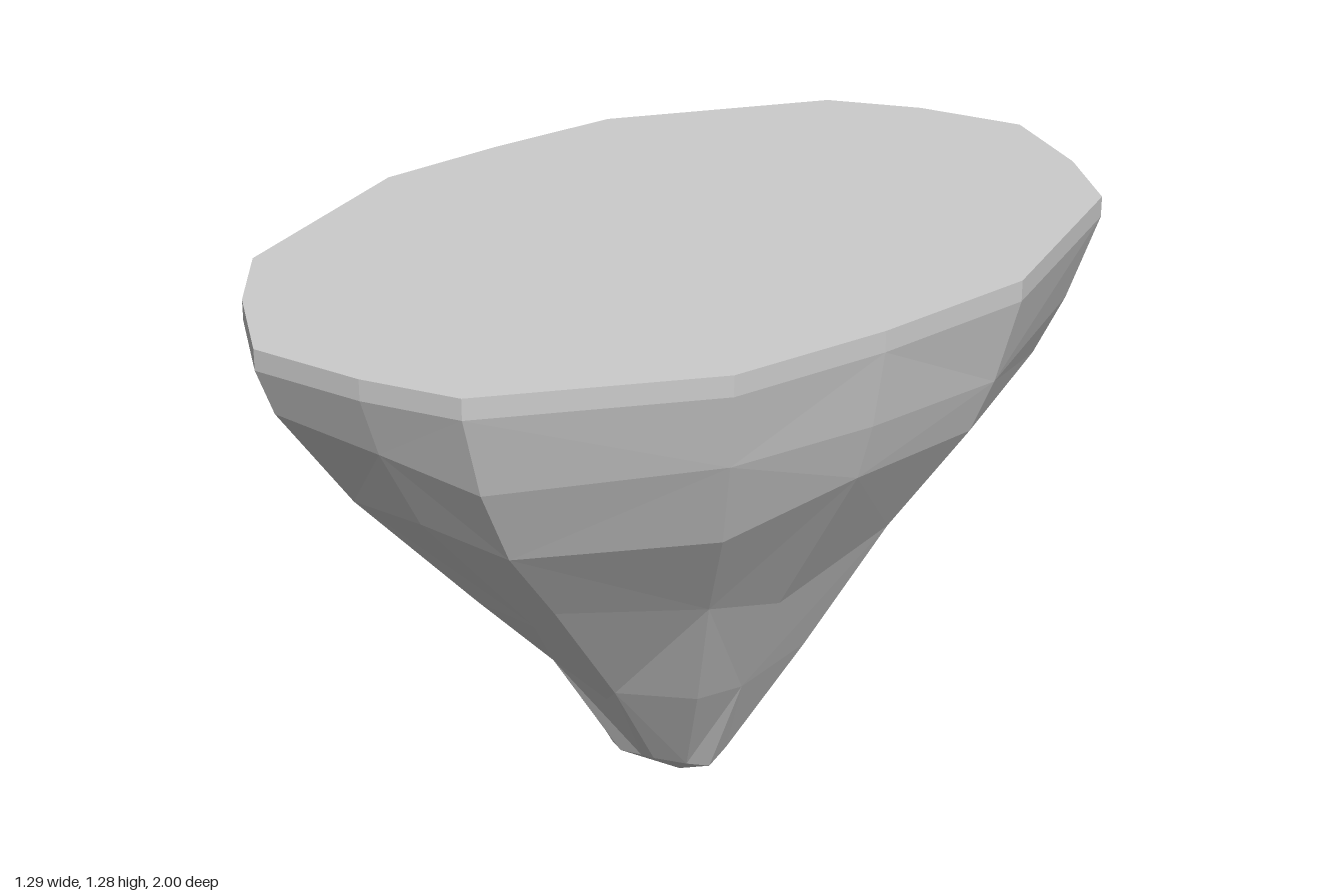
import * as THREE from 'three';

// Plan outline [x, z], from the front point round by +x
const outline = [
  [-0.04, 1], [0.2, 0.92], [0.39, 0.82], [0.62, 0.36], [0.64, 0], [0.62, -0.38], [0.39, -0.83], [0.2, -0.93],
  [-0.04, -1], [-0.26, -0.9], [-0.43, -0.77], [-0.64, -0.3], [-0.65, 0], [-0.64, 0.29], [-0.43, 0.76], [-0.26, 0.89],
];
const N = outline.length;

// Cross-sections from the rim down: height, then how far each outline point shrinks inward
const levels = [
  { y: 1.235, s: Array(N).fill(1) },
  { y: 1.1, s: [0.95, 0.95, 0.96, 0.96, 0.97, 0.96, 0.95, 0.95, 0.955, 0.95, 0.95, 0.96, 0.965, 0.97, 0.96, 0.95] },
  { y: 0.9, s: [0.8, 0.83, 0.85, 0.86, 0.87, 0.85, 0.83, 0.82, 0.82, 0.82, 0.82, 0.85, 0.87, 0.88, 0.84, 0.8] },
  { y: 0.62, s: [0.55, 0.56, 0.58, 0.58, 0.57, 0.57, 0.56, 0.54, 0.53, 0.53, 0.53, 0.57, 0.6, 0.58, 0.49, 0.5] },
  { y: 0.34, s: [0.29, 0.29, 0.33, 0.38, 0.36, 0.37, 0.34, 0.32, 0.32, 0.33, 0.34, 0.39, 0.41, 0.39, 0.33, 0.3] },
  { y: 0.06, s: [0.16, 0.14, 0.14, 0.15, 0.165, 0.15, 0.14, 0.14, 0.15, 0.15, 0.16, 0.2, 0.235, 0.21, 0.17, 0.16] },
];

function seeded(seed) {
  return () => {
    seed = (seed * 16807) % 2147483647;
    return seed / 2147483647;
  };
}

function rockGeometry() {
  const random = seeded(41);
  const last = levels.length - 1;
  const rings = levels.map(({ y, s }, k) => outline.map(([x, z], i) => {
    let h = y, f = s[i];
    // slide the middle corners up or down the slope for uneven facets
    if (k > 0 && k < last) {
      const t = (random() - 0.5) * 0.5;
      const next = levels[t > 0 ? k + 1 : k - 1];
      h += (next.y - y) * Math.abs(t);
      f += (next.s[i] - f) * Math.abs(t);
    }
    // the lowest ring rises to the front and back
    if (k === last) h = 0.04 + 0.4 * Math.abs(z * f) + 0.15 * x * f;
    return [x * f, h, z * f];
  }));
  rings.unshift(outline.map(([x, z]) => [x, 1.28, z]));

  const pos = [];
  const tri = (a, b, c) => pos.push(...a, ...b, ...c);
  for (let i = 0; i < N; i++) {
    const j = (i + 1) % N;
    for (let k = 0; k < rings.length - 1; k++) {
      const a = rings[k][i], b = rings[k][j], c = rings[k + 1][j], d = rings[k + 1][i];
      if ((i + k) % 2) { tri(a, d, c); tri(a, c, b); }
      else { tri(a, d, b); tri(b, d, c); }
    }
    // pointed foot
    tri(rings[rings.length - 1][i], [0, 0, 0], rings[rings.length - 1][j]);
  }
  const geometry = new THREE.BufferGeometry();
  geometry.setAttribute('position', new THREE.Float32BufferAttribute(pos, 3));
  geometry.computeVertexNormals();
  return geometry;
}

export function createModel() {
  const group = new THREE.Group();
  group.name = 'floatingRock';
  const material = new THREE.MeshStandardMaterial({ color: 0xcccccc, flatShading: true });

  // Faceted rock tapering downward
  const rock = new THREE.Mesh(rockGeometry(), material);
  rock.name = 'rockUnderside';
  group.add(rock);

  // Flat top
  const shape = new THREE.Shape(outline.map(([x, z]) => new THREE.Vector2(x, -z)));
  const top = new THREE.Mesh(new THREE.ShapeGeometry(shape), material);
  top.name = 'flatTop';
  top.rotation.x = -Math.PI / 2;
  top.position.y = 1.28;
  group.add(top);
  return group;
}
